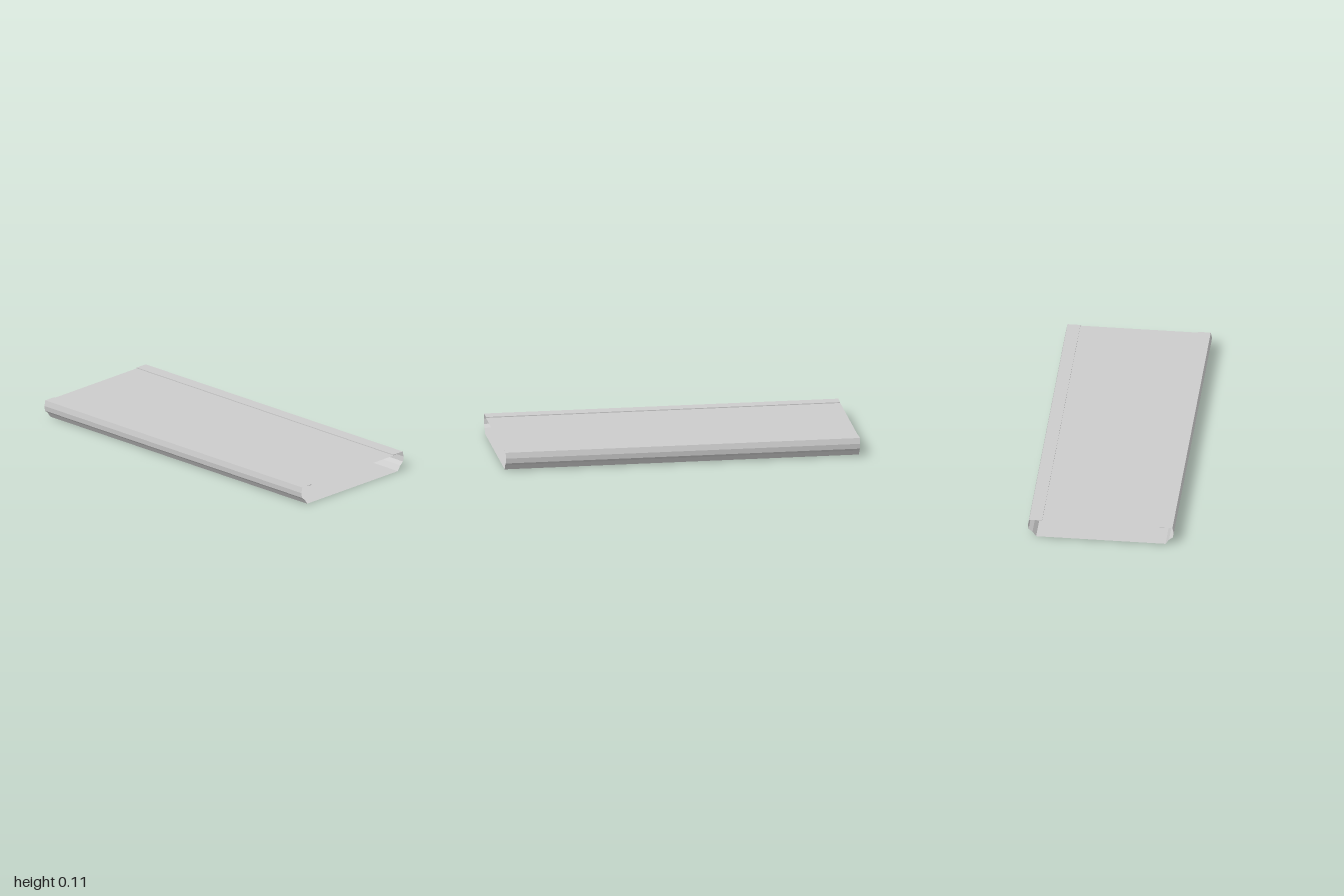
import * as THREE from 'three';

const LENGTH = 2;
const material = new THREE.MeshStandardMaterial({ color: 0xcccccc, flatShading: true, side: THREE.DoubleSide });

// Open strip swept along z through a run of [x, y] points
function sweep(points, name) {
  const positions = [];
  for (let i = 0; i < points.length - 1; i++) {
    const [ax, ay] = points[i];
    const [bx, by] = points[i + 1];
    const h = LENGTH / 2;
    positions.push(ax, ay, h, ax, ay, -h, bx, by, -h);
    positions.push(ax, ay, h, bx, by, -h, bx, by, h);
  }
  const geometry = new THREE.BufferGeometry();
  geometry.setAttribute('position', new THREE.Float32BufferAttribute(positions, 3));
  geometry.computeVertexNormals();
  const mesh = new THREE.Mesh(geometry, material);
  mesh.name = name;
  return mesh;
}

export function createModel() {
  const group = new THREE.Group();
  group.name = 'hollowPlank';

  // Flat floor and slightly sunken top panel, open at both ends
  group.add(sweep([[-0.363, 0], [0.363, 0]], 'floor'));
  group.add(sweep([[0.33, 0.102], [-0.33, 0.102]], 'topPanel'));

  for (const [side, s] of [['left', 1], ['right', -1]]) {
    // Side rail: lower bevel, overhang, slightly bulged wall and top edge
    const rail = [[0.363, 0], [0.383, 0.029], [0.405, 0.046], [0.409, 0.075], [0.402, 0.107], [0.365, 0.107]];
    const points = rail.map(([x, y]) => [s * x, y]);
    group.add(sweep(s > 0 ? points : points.reverse(), side + 'Rail'));

    // Thin wedge lip where the rail steps down to the panel
    const lip = new THREE.Shape([[0.33, 0.102], [0.365, 0.107], [0.33, 0.107]].map(([x, y]) => new THREE.Vector2(s * x, y)));
    const geometry = new THREE.ExtrudeGeometry(lip, { depth: LENGTH, bevelEnabled: false });
    geometry.translate(0, 0, -LENGTH / 2);
    const mesh = new THREE.Mesh(geometry, material);
    mesh.name = side + 'Lip';
    group.add(mesh);
  }
  return group;
}
